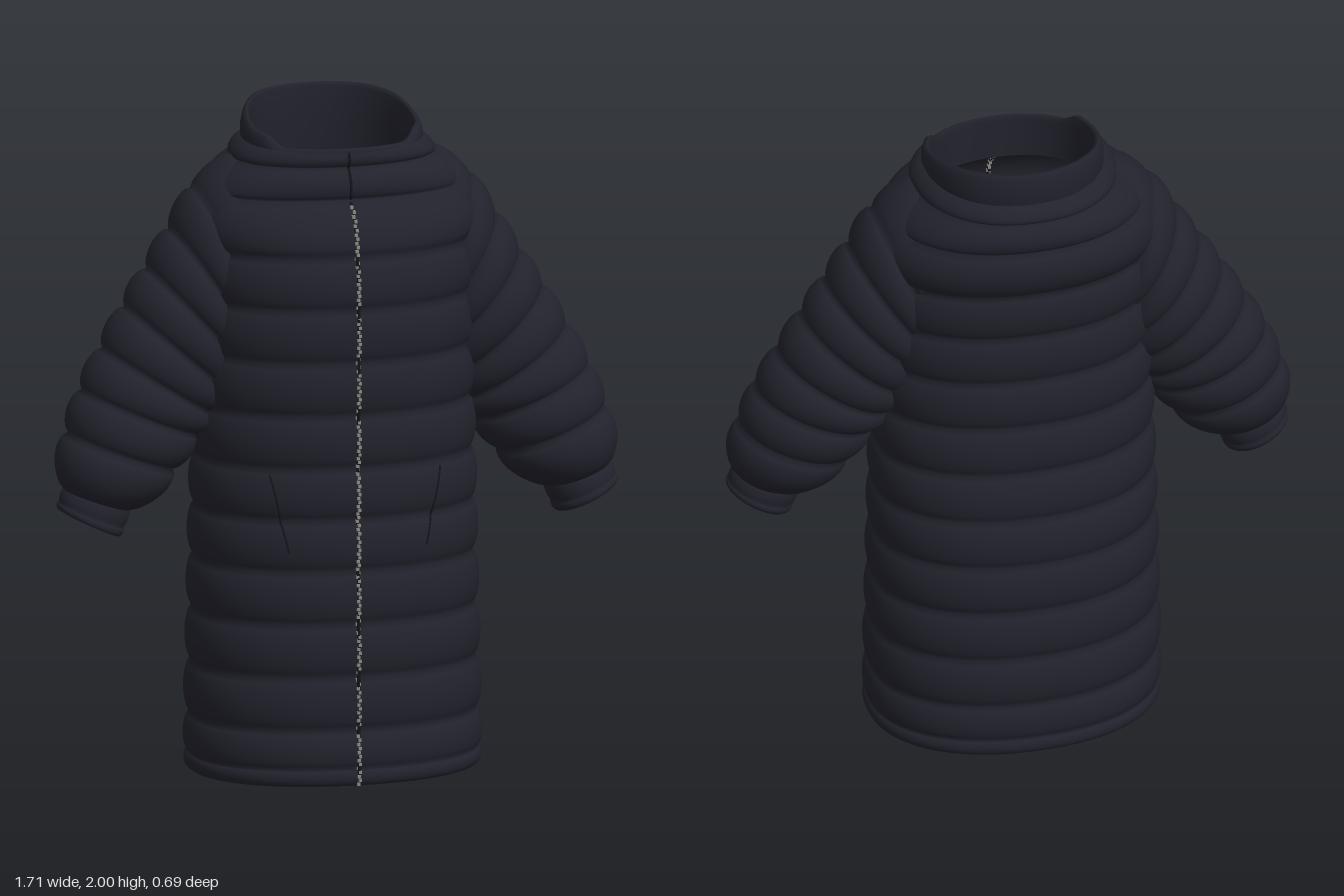
import * as THREE from 'three';
import { mergeGeometries } from 'three/addons/utils/BufferGeometryUtils.js';

const SEGS = 72;
const N = 2.2; // roundness of the body's cross-section

// Skin a stack of closed rings; ringPoint(row, angle) returns [x, y, z]
function loft(rows, ringPoint) {
  const pos = [], index = [];
  rows.forEach((row, i) => {
    for (let j = 0; j < SEGS; j++) {
      pos.push(...ringPoint(row, (j / SEGS) * Math.PI * 2));
      if (i === rows.length - 1) continue;
      const a = i * SEGS + j, b = i * SEGS + (j + 1) % SEGS;
      index.push(a, b, b + SEGS, a, b + SEGS, a + SEGS);
    }
  });
  const g = new THREE.BufferGeometry();
  g.setAttribute('position', new THREE.Float32BufferAttribute(pos, 3));
  g.setIndex(index);
  g.computeVertexNormals();
  return g;
}

// Blend two seams; the last value of a seam is the padding up to the next one
function between(a, b, t) {
  const row = a.map((v, k) => v + (b[k] - v) * t);
  row[row.length - 1] = a[a.length - 1] * Math.pow(Math.sin(Math.PI * t), 0.6);
  return row;
}

// Fill in rows between seams so that every channel is puffed
function puffRows(seams, steps = 10) {
  const rows = [];
  for (let i = 0; i < seams.length - 1; i++) {
    const n = seams[i].at(-1) > 0 ? steps : 1;
    for (let k = 0; k < n; k++) rows.push(between(seams[i], seams[i + 1], k / n));
  }
  rows.push([...seams.at(-1).slice(0, -1), 0]);
  return rows;
}

// Body seams: y, half width, front depth, back depth, padding
const BODY = [
  [0, 0.43, 0.325, 0.325, 0.012],
  [0.05, 0.432, 0.325, 0.325, 0.016],
  [0.165, 0.425, 0.315, 0.32, 0.02],
  [0.325, 0.422, 0.313, 0.317, 0.02],
  [0.485, 0.418, 0.312, 0.313, 0.02],
  [0.645, 0.415, 0.31, 0.31, 0.02],
  [0.8, 0.412, 0.31, 0.3, 0.02],
  [0.955, 0.408, 0.31, 0.285, 0.02],
  [1.115, 0.405, 0.312, 0.28, 0.02],
  [1.275, 0.405, 0.315, 0.28, 0.02],
  [1.435, 0.405, 0.315, 0.285, 0.022],
  [1.59, 0.405, 0.3, 0.295, 0.036],
  [1.75, 0.385, 0.225, 0.315, 0.024],
  [1.845, 0.3, 0.205, 0.305, 0.018],
  [1.9, 0.262, 0.2, 0.275, 0],
];
const HEM_INSIDE = [0.06, 0.42, 0.315, 0.315, 0];

const oval = (c) => Math.sign(c) * Math.pow(Math.abs(c), 2 / N);

function bodyPoint([y, w, front, back, puff], a) {
  const s = -Math.sin(a);
  return [(w + puff) * oval(Math.cos(a)), y, ((s > 0 ? front : back) + puff) * oval(s)];
}

// Depth of the front surface at (x, y)
function frontZ(x, y) {
  const i = Math.max(0, BODY.findIndex((s) => s[0] > y) - 1);
  const t = (y - BODY[i][0]) / (BODY[i + 1][0] - BODY[i][0]);
  const [, w, front, , puff] = between(BODY[i], BODY[i + 1], t);
  return (front + puff) * Math.pow(1 - Math.pow(Math.abs(x) / (w + puff), N), 1 / N);
}

// Collar rows: half width, front, back, height fraction from base to rim
const COLLAR = [
  [0.258, 0.212, 0.272, -0.25], [0.268, 0.215, 0.282, 0.2], [0.268, 0.214, 0.284, 0.55],
  [0.262, 0.212, 0.28, 0.85], [0.255, 0.208, 0.274, 0.98], [0.248, 0.204, 0.267, 1],
  [0.241, 0.2, 0.26, 0.9], [0.24, 0.2, 0.26, 0.3], [0.242, 0.2, 0.262, -0.5], [0.25, 0.2, 0.268, -1.2],
];

function collarPoint([w, front, back, h], a) {
  const [x, , z] = bodyPoint([0, w, front, back, 0], a);
  // The rim is high at the nape and drops to the front opening
  const rim = z < 0.09 ? 2.0 - 0.065 * THREE.MathUtils.smoothstep(z, -0.27, 0.12)
    : 1.938 - 0.036 * THREE.MathUtils.smoothstep(z, 0.09, 0.15);
  const base = 1.88;
  return [x, h > 0 ? base + (rim - base) * h : base + 0.1 * h, z];
}

// Sleeve seams: outer x, y, inner x, y, depth centre, depth radius, padding
const SLEEVE = [
  [0.29, 1.85, 0.262, 1.5, -0.02, 0.16, 0.025],
  [0.42, 1.755, 0.27, 1.42, -0.015, 0.168, 0.025],
  [0.49, 1.635, 0.285, 1.33, -0.01, 0.168, 0.025],
  [0.56, 1.52, 0.31, 1.25, -0.005, 0.165, 0.025],
  [0.63, 1.41, 0.345, 1.16, 0, 0.16, 0.025],
  [0.7, 1.29, 0.385, 1.09, 0.008, 0.157, 0.025],
  [0.765, 1.17, 0.43, 1.03, 0.018, 0.155, 0.026],
  [0.81, 1.045, 0.5, 0.93, 0.03, 0.148, 0.038],
  [0.825, 0.875, 0.637, 0.815, 0.05, 0.095, 0],
];
const CUFF = [
  [0.822, 0.89, 0.632, 0.83, 0.05, 0.094, 0.006],
  [0.845, 0.845, 0.655, 0.765, 0.053, 0.1, 0.005],
  [0.85, 0.825, 0.667, 0.738, 0.055, 0.1, 0],
  [0.842, 0.827, 0.675, 0.746, 0.055, 0.092, 0],
  [0.815, 0.88, 0.645, 0.82, 0.05, 0.086, 0],
];

const sleevePoint = (side) => ([ox, oy, ix, iy, zc, zr, puff], a) => {
  const half = Math.hypot(ox - ix, oy - iy) / 2;
  const k = Math.cos(a) * (half + puff) / (2 * half);
  return [
    side * ((ox + ix) / 2 + (ox - ix) * k),
    (oy + iy) / 2 + (oy - iy) * k,
    zc + side * Math.sin(a) * (zr + puff),
  ];
};

export function createModel() {
  const coat = new THREE.MeshStandardMaterial({ color: 0x22222d, side: THREE.DoubleSide });
  coat.name = 'navy quilted cloth';
  const stitch = new THREE.MeshStandardMaterial({ color: 0x14141a });
  stitch.name = 'dark stitching';
  const metal = new THREE.MeshStandardMaterial({ color: 0x8c8a84 });
  metal.name = 'zip metal';

  const model = new THREE.Group();
  model.name = 'puffer coat';
  const add = (name, geometry, material, parent = model) => {
    const mesh = new THREE.Mesh(geometry, material);
    mesh.name = name;
    parent.add(mesh);
  };

  // Quilted body with turned hem, and the standing collar
  add('body', loft([HEM_INSIDE, ...puffRows(BODY)], bodyPoint), coat);
  add('collar', loft(COLLAR, collarPoint), coat);

  // Sleeves and cuffs
  for (const side of [1, -1]) {
    const arm = new THREE.Group();
    arm.name = side > 0 ? 'leftSleeve' : 'rightSleeve';
    add('sleeve', loft(puffRows(SLEEVE), sleevePoint(side)), coat, arm);
    add('cuff', loft(puffRows(CUFF, 6), sleevePoint(side)), coat, arm);
    model.add(arm);
  }

  // Stitched lines laid on the front surface
  const line = (x0, y0, x1, y1, r) => {
    const pts = [];
    for (let i = 0; i <= 24; i++) {
      const x = x0 + (x1 - x0) * i / 24, y = y0 + (y1 - y0) * i / 24;
      pts.push(new THREE.Vector3(x, y, frontZ(x, y)));
    }
    return new THREE.TubeGeometry(new THREE.CatmullRomCurve3(pts), 72, r, 6);
  };
  add('leftPocketSeam', line(0.26, 0.94, 0.21, 0.71, 0.003), stitch);
  add('rightPocketSeam', line(-0.26, 0.94, -0.21, 0.71, 0.003), stitch);
  add('neckSeam', line(-0.005, 1.755, -0.005, 1.89, 0.004), stitch);

  // Zip teeth, alternating left and right up the front
  const teeth = [];
  for (let i = 0; i < 145; i++) {
    const y = 0.006 + i * 0.012;
    const tooth = new THREE.BoxGeometry(0.009, 0.009, 0.014);
    tooth.translate(-0.005 + (i % 2 ? 0.002 : -0.002), y, frontZ(0, y));
    teeth.push(tooth);
  }
  add('zipTeeth', mergeGeometries(teeth), metal);
  add('zipTape', line(-0.005, 0.004, -0.005, 1.745, 0.005), stitch);

  return model;
}
